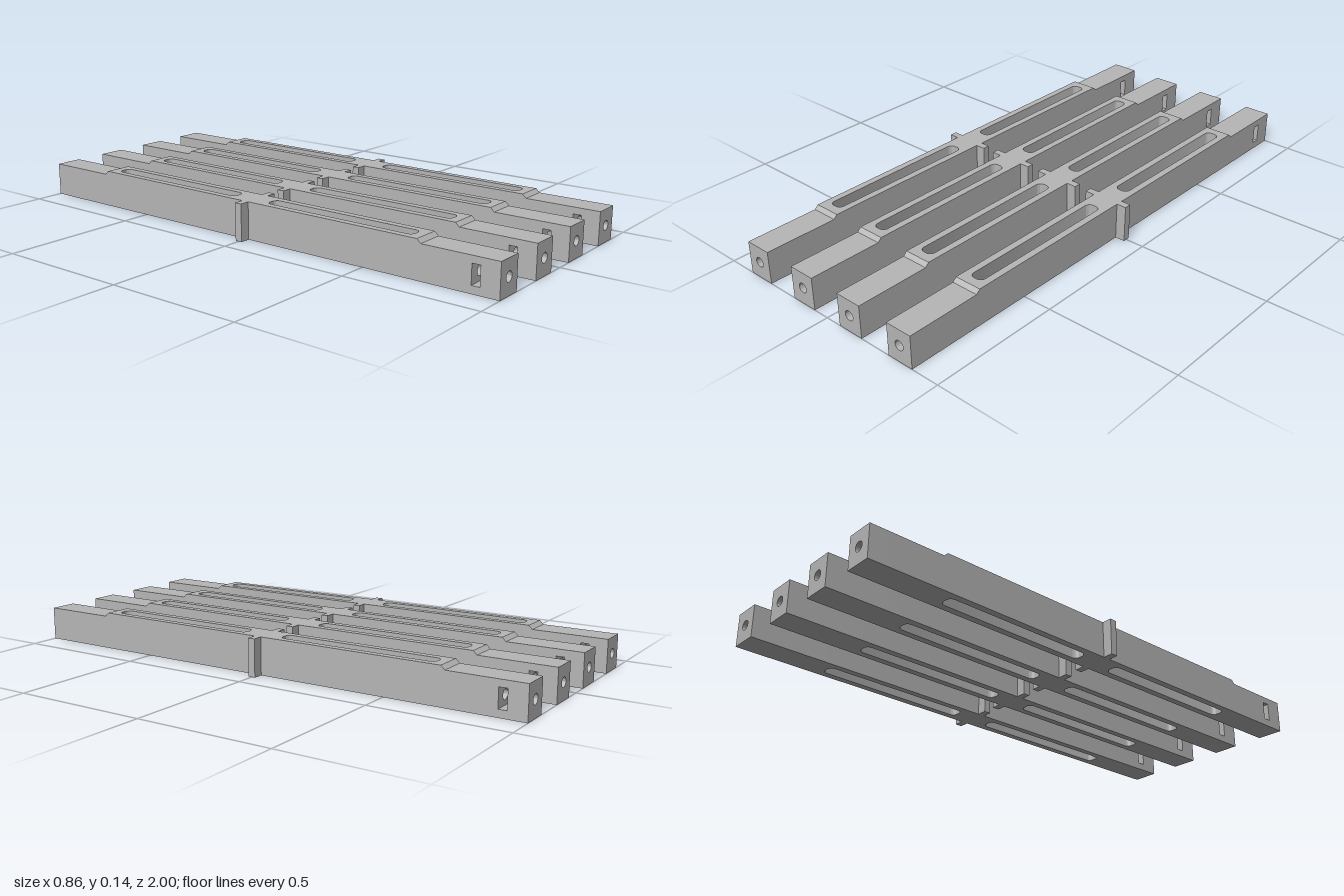
import * as THREE from 'three';
import { toCreasedNormals } from 'three/addons/utils/BufferGeometryUtils.js';

const W = 0.0516;        // half width of a bar
const TOP = 0.1365;      // height of the raised middle
const LOW = 0.1227;      // height of the ends
const STEP = 0.706;      // where the raised middle ends
const HOLE_Y = 0.0625;   // bolt axis height
const HOLE_R = 0.018;

const polygon = (points) => new THREE.Shape(points.map(([x, y]) => new THREE.Vector2(x, y)));

function extrude(shape, depth) {
  const geometry = new THREE.ExtrudeGeometry(shape, { depth, bevelEnabled: false, curveSegments: 12 });
  return toCreasedNormals(geometry, 0.6);
}

// Rounded slot along the bar, in plan
function slotPath(z0, z1) {
  const w = 0.0255, r = 0.02;
  const p = new THREE.Path();
  p.moveTo(-w, z0 + r);
  p.absarc(-w + r, z0 + r, r, Math.PI, Math.PI * 1.5, false);
  p.absarc(w - r, z0 + r, r, Math.PI * 1.5, Math.PI * 2, false);
  p.absarc(w - r, z1 - r, r, 0, Math.PI / 2, false);
  p.absarc(-w + r, z1 - r, r, Math.PI / 2, Math.PI, false);
  p.closePath();
  return p;
}

// Raised middle with side flanges and two through slots
function middleGeometry() {
  const f = 0.0888, t = 0.0135;
  const plan = polygon([
    [-W, -STEP], [W, -STEP], [W, -t], [f, -t], [f, t], [W, t],
    [W, STEP], [-W, STEP], [-W, t], [-f, t], [-f, -t], [-W, -t],
  ]);
  plan.holes.push(slotPath(0.075, 0.672), slotPath(-0.672, -0.075));
  return extrude(plan, TOP).rotateX(-Math.PI / 2);
}

// Solid root of the end, with the short ramp down from the middle
function rootGeometry() {
  const side = polygon([[STEP, 0], [0.82, 0], [0.82, LOW], [STEP + 0.014, LOW], [STEP, TOP]]);
  return extrude(side, 2 * W).rotateY(-Math.PI / 2).translate(W, 0, 0);
}

// Slab of the end pierced by the bolt hole
function boredGeometry(z0, z1) {
  const section = polygon([[-W, 0], [W, 0], [W, LOW], [-W, LOW]]);
  const hole = new THREE.Path();
  hole.absarc(0, HOLE_Y, HOLE_R, 0, Math.PI * 2, true);
  section.holes.push(hole);
  return extrude(section, z1 - z0).translate(0, 0, z0);
}

// Slab with a hexagonal nut pocket open to one side
function pocketGeometry(z0, z1) {
  const h = 0.035;
  const section = polygon([
    [-W, 0], [W, 0], [W, LOW], [-W, LOW], [-W, HOLE_Y + h],
    [0.0202, HOLE_Y + h], [0.0404, HOLE_Y], [0.0202, HOLE_Y - h], [-W, HOLE_Y - h],
  ]);
  return extrude(section, z1 - z0).translate(0, 0, z0);
}

export function createModel() {
  const model = new THREE.Group();
  model.name = 'slottedBars';
  const grey = new THREE.MeshStandardMaterial({ color: 0xb6b6b6 });
  grey.name = 'plain grey';

  const middle = middleGeometry();
  const endParts = {
    endRoot: rootGeometry(),
    boltBore: boredGeometry(0.82, 0.902),
    nutPocket: pocketGeometry(0.902, 0.932),
    endFace: boredGeometry(0.932, 1),
  };
  const addMesh = (parent, name, geometry) => {
    const mesh = new THREE.Mesh(geometry, grey);
    mesh.name = name;
    parent.add(mesh);
  };

  // Four equal bars side by side
  [-0.3405, -0.1135, 0.1135, 0.3405].forEach((x, i) => {
    const bar = new THREE.Group();
    bar.name = `bar${i + 1}`;
    bar.position.x = x;
    addMesh(bar, 'slottedMiddle', middle);

    // The back end is the front end turned half a revolution
    for (const [name, angle] of [['frontEnd', 0], ['backEnd', Math.PI]]) {
      const end = new THREE.Group();
      end.name = name;
      end.rotation.y = angle;
      for (const part in endParts) addMesh(end, part, endParts[part]);
      bar.add(end);
    }
    model.add(bar);
  });
  return model;
}
